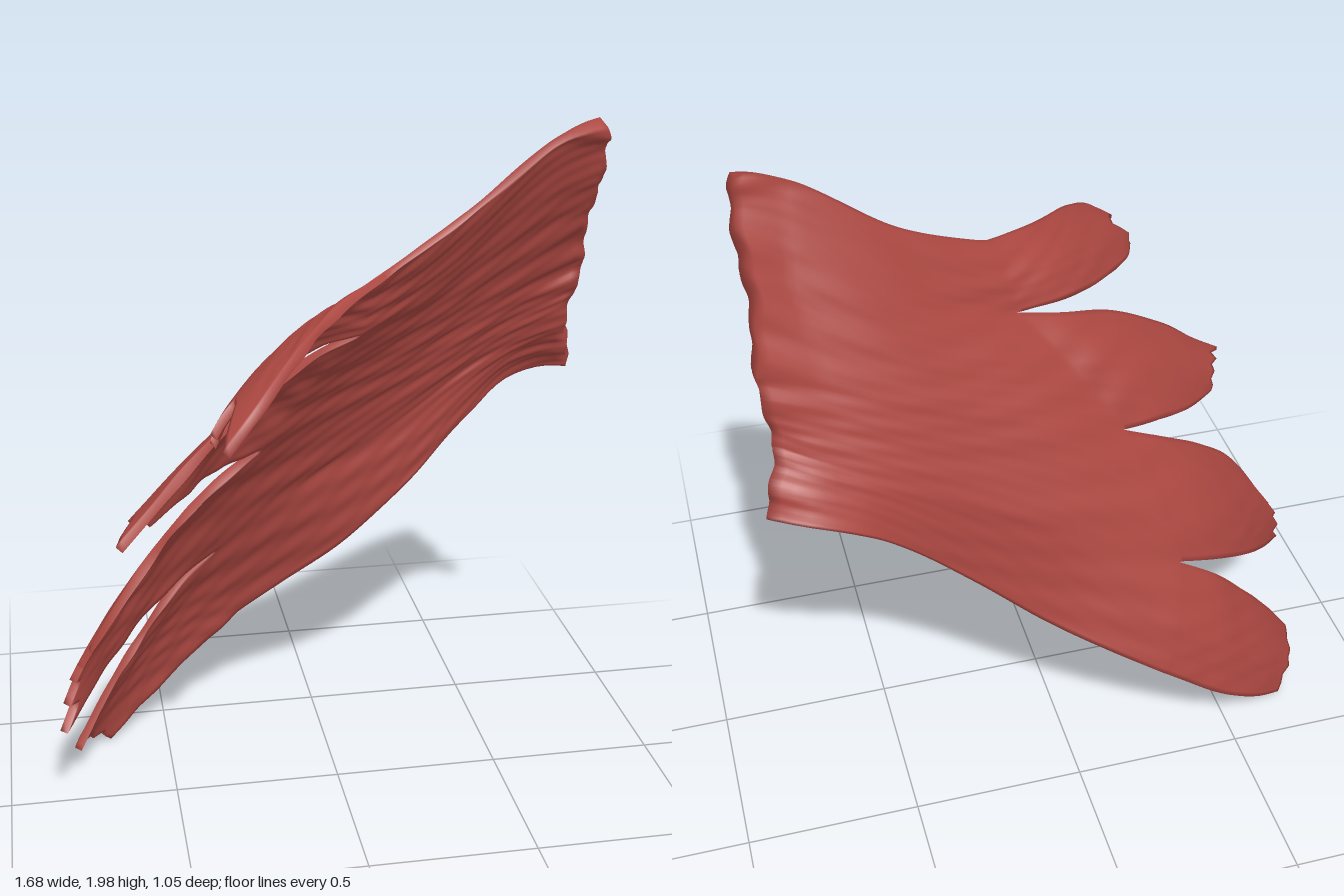
import * as THREE from 'three';
import { mergeVertices } from 'three/addons/utils/BufferGeometryUtils.js';

const red = new THREE.MeshStandardMaterial({ color: 0xac4741 });
red.name = 'dull red';

const curve = (pts) => new THREE.CatmullRomCurve3(pts.map((p) => new THREE.Vector3(...p)));

// Seams running from the root edge to the notches, top to bottom
const seams = [
  [[0.79, 1.985, -0.14], [0.74, 1.975, -0.135], [0.65, 1.935, -0.13], [0.4, 1.75, -0.1], [0.18, 1.63, -0.02], [0.14, 1.61, 0]],
  [[0.81, 1.78, -0.24], [0.5, 1.62, -0.23], [0.3, 1.52, -0.17], [0.08, 1.42, -0.08]],
  [[0.8, 1.55, -0.35], [0.5, 1.4, -0.34], [0.25, 1.27, -0.3], [0, 1.15, -0.25], [-0.2, 1.045, -0.19]],
  [[0.8, 1.35, -0.385], [0.7, 1.3, -0.42], [0.55, 1.22, -0.43], [0.25, 1.03, -0.4], [0, 0.88, -0.38], [-0.33, 0.655, -0.35]],
  [[0.81, 1.175, -0.46], [0.73, 1.16, -0.505], [0.62, 1.11, -0.51], [0.5, 1.01, -0.47], [0.3, 0.81, -0.43], [0.1, 0.62, -0.44], [-0.1, 0.475, -0.48], [-0.25, 0.365, -0.495]],
].map(curve);

// Upper and lower edges of each finger, from notch to tip
const fingers = [
  [[[0.14, 1.61, 0], [-0.02, 1.555, 0.14], [-0.18, 1.475, 0.34], [-0.29, 1.39, 0.47], [-0.38, 1.3, 0.52]],
    [[0.08, 1.42, -0.08], [-0.06, 1.405, -0.03], [-0.18, 1.375, 0.06], [-0.27, 1.345, 0.16], [-0.35, 1.31, 0.27], [-0.4, 1.28, 0.39]]],
  [[[0.08, 1.42, -0.08], [-0.06, 1.37, -0.04], [-0.24, 1.28, 0.06], [-0.42, 1.15, 0.145], [-0.54, 1.04, 0.2], [-0.65, 0.945, 0.26]],
    [[-0.2, 1.045, -0.19], [-0.33, 1.02, -0.14], [-0.44, 0.975, -0.06], [-0.56, 0.93, 0.06]]],
  [[[-0.2, 1.045, -0.19], [-0.35, 0.95, -0.14], [-0.5, 0.83, -0.06], [-0.62, 0.7, 0.01], [-0.74, 0.53, 0.04]],
    [[-0.33, 0.655, -0.35], [-0.47, 0.58, -0.29], [-0.6, 0.49, -0.2], [-0.71, 0.4, -0.09], [-0.83, 0.29, 0.07]]],
  [[[-0.33, 0.655, -0.35], [-0.45, 0.56, -0.32], [-0.57, 0.42, -0.27], [-0.69, 0.26, -0.21], [-0.79, 0.1, -0.15]],
    [[-0.25, 0.365, -0.495], [-0.45, 0.2, -0.47], [-0.58, 0.1, -0.42], [-0.69, 0.02, -0.35]]],
].map((pair) => pair.map(curve));

// How far the torn tips are cut back, across each finger
const tears = [
  [0, 0.04, 0.1, 0.17, 0.2, 0.12, 0.03, 0.06, 0],
  [0, 0.02, 0.08, 0.05, 0.1, 0.07, 0.09, 0.03, 0],
  [0, 0.05, 0.01, 0.08, 0.03, 0.09, 0.02, 0.1, 0],
  [0, 0.02, 0.04, 0.01, 0.03, 0.0, 0.04, 0.01, 0],
];

const ROWS = 80, COLS = 24;

// Middle surface of the sheet; uv holds (position across, position along)
function sheetSurface() {
  const pos = [], uv = [], index = [];
  fingers.forEach(([upper, lower], f) => {
    const base = pos.length / 3;
    for (let i = 0; i <= ROWS; i++) {
      for (let j = 0; j <= COLS; j++) {
        const u = i / ROWS, v = j / COLS, w = f + v;
        const p = new THREE.Vector3();
        if (u <= 0.5) {
          p.lerpVectors(seams[f].getPointAt(u * 2), seams[f + 1].getPointAt(u * 2), v);
          // uneven root edge
          p.x += (0.012 * Math.sin(w * 3.5 + 0.35) + 0.004 * Math.sin(w * 13)) * Math.max(0, 1 - u * 10);
        } else {
          const k = v * 8, a = Math.min(7, Math.floor(k));
          const cut = THREE.MathUtils.lerp(tears[f][a], tears[f][a + 1], k - a);
          const s = (u * 2 - 1) * (1 - cut);
          p.lerpVectors(upper.getPointAt(s), lower.getPointAt(s), v);
        }
        pos.push(p.x, p.y, p.z);
        uv.push(w, u);
        if (i < ROWS && j < COLS) {
          const n = base + i * (COLS + 1) + j, m = n + COLS + 1;
          index.push(n, m, n + 1, m, m + 1, n + 1);
        }
      }
    }
  });
  const g = new THREE.BufferGeometry();
  g.setAttribute('position', new THREE.Float32BufferAttribute(pos, 3));
  g.setAttribute('uv', new THREE.Float32BufferAttribute(uv, 2));
  g.setIndex(index);
  const merged = mergeVertices(g, 1e-4);
  merged.computeVertexNormals();
  return merged;
}

// Short, broken lengthwise ridges
const ridgeAt = (w, u) =>
  0.004 * Math.sin(w * 12 + 3 * Math.sin(u * 9 + w)) * Math.sin(u * 17 + w * 5)
  + 0.003 * Math.sin(w * 27 + 4 * Math.sin(u * 8 + w * 2)) * Math.sin(u * 29 - w * 8);

// Fingers are hollow in front and rounded behind
const cupAt = (w, u) =>
  0.03 * Math.abs(Math.sin(Math.PI * w)) * THREE.MathUtils.smoothstep(u, 0.3, 0.7);

// Gives the sheet thickness, ridges and closed rims
function thicken(surface) {
  const P = surface.attributes.position, N = surface.attributes.normal, W = surface.attributes.uv;
  const tri = Array.from(surface.index.array), count = P.count;
  const pos = [], index = [...tri];
  for (const side of [1, -1]) {
    for (let i = 0; i < count; i++) {
      const w = W.getX(i), u = W.getY(i);
      const lip = 0.016 * Math.max(0, 1 - u * 14) * (1 + 0.4 * Math.sin(w * 8 + 2 * Math.sin(w * 3)));
      const ridge = ridgeAt(w, u) * (side > 0 ? 1 : 0.5) * Math.min(1, (1 - u) * 5);
      const d = side * (0.012 + lip + ridge) - cupAt(w, u);
      pos.push(P.getX(i) + N.getX(i) * d, P.getY(i) + N.getY(i) * d, P.getZ(i) + N.getZ(i) * d);
    }
  }
  const edges = new Set();
  for (let t = 0; t < tri.length; t += 3) {
    const c = [tri[t], tri[t + 1], tri[t + 2]];
    index.push(c[0] + count, c[2] + count, c[1] + count);
    for (let k = 0; k < 3; k++) edges.add(c[k] * count + c[(k + 1) % 3]);
  }
  // rim walls along every open edge
  for (const e of edges) {
    const a = Math.floor(e / count), b = e % count;
    if (!edges.has(b * count + a)) index.push(a, a + count, b, b, a + count, b + count);
  }
  const g = new THREE.BufferGeometry();
  g.setAttribute('position', new THREE.Float32BufferAttribute(pos, 3));
  g.setIndex(index);
  g.computeVertexNormals();
  return g;
}

export function createModel() {
  const group = new THREE.Group();
  group.name = 'tornFan';
  const sheet = new THREE.Mesh(thicken(sheetSurface()), red);
  sheet.name = 'fingeredSheet';
  group.add(sheet);
  return group;
}
